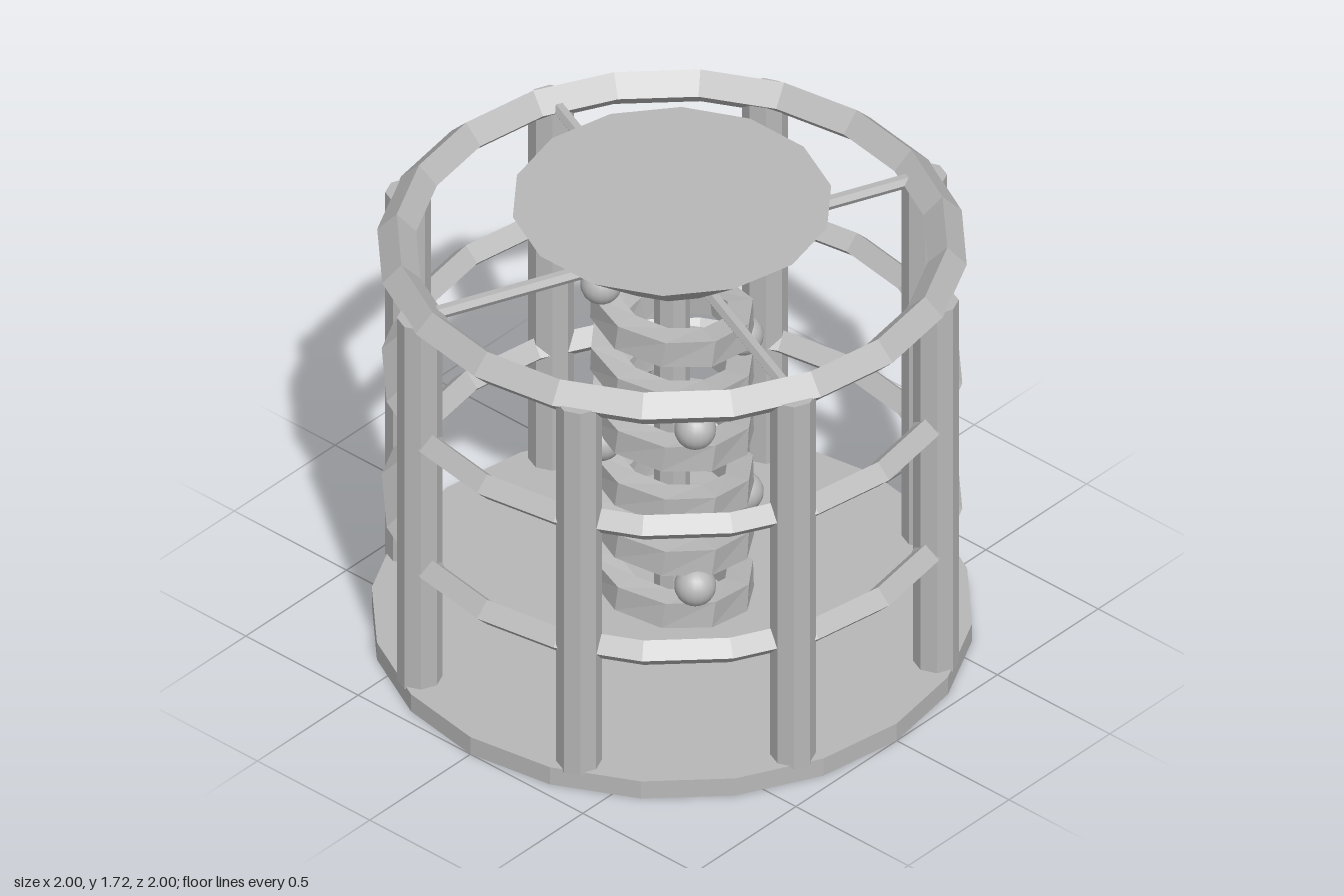
import * as THREE from 'three';

const grey = new THREE.MeshStandardMaterial({ color: 0xb8b8b8, flatShading: true });
grey.name = 'grey';

// Rising square-section ramp, built from cross-sections along a helix
const RAMP = { radius: 0.233, halfWidth: 0.043, halfHeight: 0.05, turns: 6, y0: 0.14, y1: 1.42 };

function rampGeometry() {
  const { radius, halfWidth, halfHeight, turns, y0, y1 } = RAMP;
  const steps = turns * 10;
  const slope = (y1 - y0) / (turns * 2 * Math.PI * radius);
  const corners = [[1, -1], [1, 1], [-1, 1], [-1, -1]];
  const positions = [], index = [];
  for (let i = 0; i <= steps; i++) {
    const a = (i / steps) * turns * Math.PI * 2;
    const y = y0 + (y1 - y0) * (i / steps);
    const out = new THREE.Vector3(Math.cos(a), 0, Math.sin(a));
    const up = new THREE.Vector3(Math.sin(a) * slope, 1, -Math.cos(a) * slope).normalize();
    for (const [u, v] of corners) {
      const p = new THREE.Vector3(0, y, 0)
        .addScaledVector(out, radius + u * halfWidth)
        .addScaledVector(up, v * halfHeight);
      positions.push(p.x, p.y, p.z);
    }
    if (i === steps) break;
    for (let k = 0; k < 4; k++) {
      const a0 = i * 4 + k, a1 = i * 4 + (k + 1) % 4;
      index.push(a0, a1, a0 + 4, a1, a1 + 4, a0 + 4);
    }
  }
  const e = steps * 4;
  index.push(0, 3, 2, 0, 2, 1, e, e + 1, e + 2, e, e + 2, e + 3);
  const g = new THREE.BufferGeometry();
  g.setAttribute('position', new THREE.Float32BufferAttribute(positions, 3));
  g.setIndex(index);
  g.computeVertexNormals();
  return g;
}

export function createModel() {
  const model = new THREE.Group();
  model.name = 'ballTower';

  const add = (name, geometry, x = 0, y = 0, z = 0, material = grey) => {
    const mesh = new THREE.Mesh(geometry, material);
    mesh.name = name;
    mesh.position.set(x, y, z);
    model.add(mesh);
    return mesh;
  };

  // Round base plate
  add('base', new THREE.CylinderGeometry(1, 1, 0.07, 20), 0, 0.035, 0);

  // Eight upright posts
  const postGeometry = new THREE.CylinderGeometry(0.076, 0.076, 1.48, 8);
  for (let i = 0; i < 8; i++) {
    const a = (i + 0.5) * Math.PI / 4;
    add('post', postGeometry, 0.927 * Math.cos(a), 0.8, 0.927 * Math.sin(a));
  }

  // Diamond-section hoops
  const hoop = (name, y, tube) =>
    add(name, new THREE.TorusGeometry(0.917, tube, 4, 20).rotateX(Math.PI / 2), 0, y, 0);
  hoop('lowerHoop', 0.537, 0.05);
  hoop('middleHoop', 1.05, 0.05);
  hoop('topHoop', 1.537, 0.065);

  // Central column and funnel
  add('column', new THREE.CylinderGeometry(0.06, 0.06, 1.45, 8), 0, 0.785, 0);
  add('funnel', new THREE.CylinderGeometry(0.535, 0.24, 0.235, 14), 0, 1.605, 0);

  // Struts from the funnel to the top hoop
  const strutGeometry = new THREE.CylinderGeometry(0.024, 0.024, 0.72, 6).rotateZ(Math.PI / 2);
  for (let i = 0; i < 4; i++) {
    const a = Math.PI / 8 + i * Math.PI / 2;
    const strut = add('strut', strutGeometry, 0.55 * Math.cos(a), 1.537, 0.55 * Math.sin(a));
    strut.rotation.y = -a;
  }

  // Spiral ramp
  add('spiralRamp', rampGeometry());

  // Balls resting along the ramp, three quarters of a turn apart
  const ballMaterial = new THREE.MeshStandardMaterial({ color: 0xb8b8b8 });
  ballMaterial.name = 'smoothGrey';
  const ballGeometry = new THREE.SphereGeometry(0.07, 18, 12);
  for (let i = 0; i < 8; i++) {
    const a = (1 / 3 + 0.75 * i) * Math.PI * 2;
    add('ball', ballGeometry, 0.247 * Math.cos(a), 0.322 + 0.16 * i, 0.247 * Math.sin(a), ballMaterial);
  }

  return model;
}
